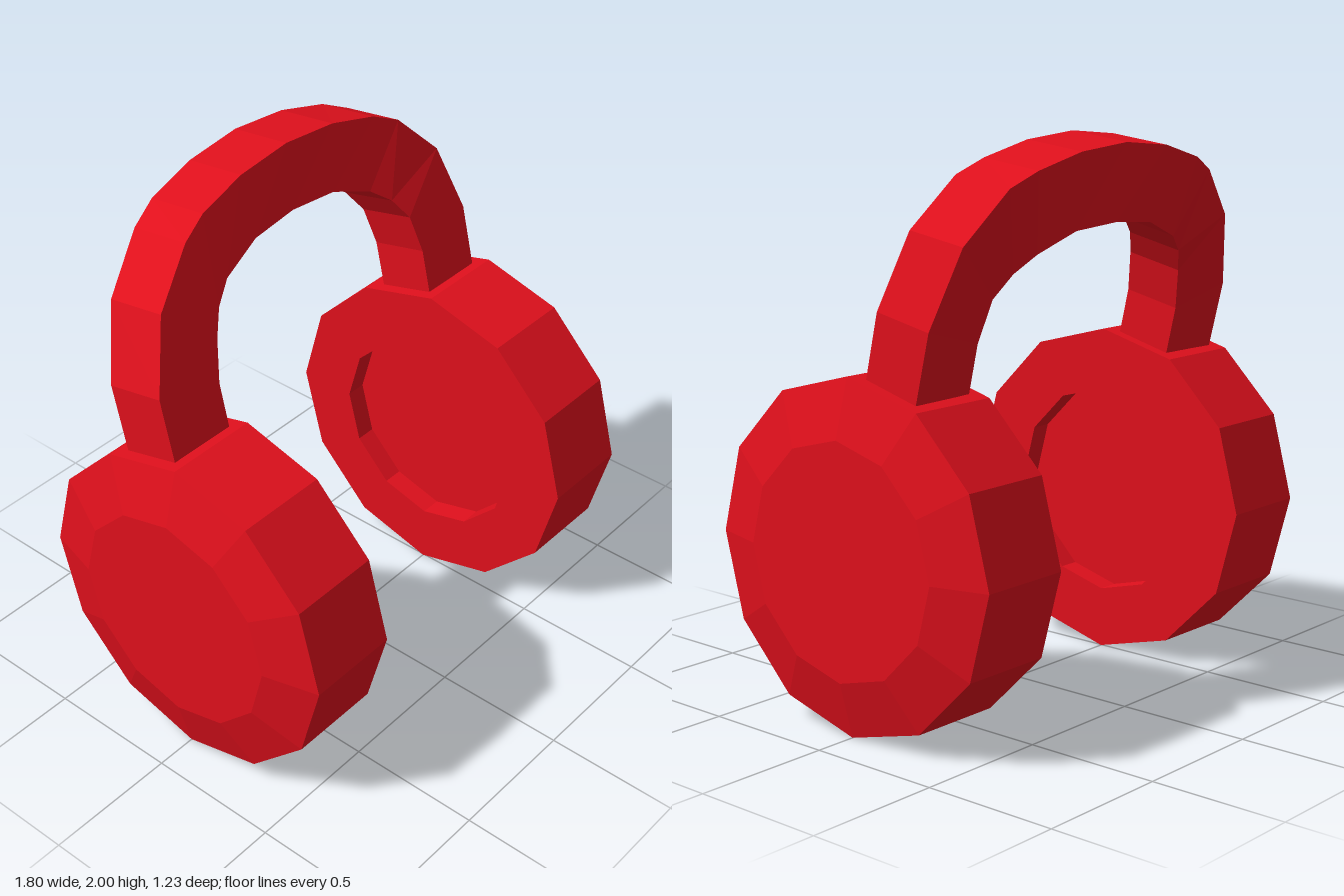
import * as THREE from 'three';

const material = new THREE.MeshStandardMaterial({ color: 0xe0101c, flatShading: true });

// Ear cup: twelve-sided lathe with a recessed inner face and a bevelled outer face
function earCup(name, side) {
  const profile = [
    [0, 0.575], [0.39, 0.575], [0.39, 0.495], [0.617, 0.495],
    [0.617, 0.845], [0.413, 0.9], [0, 0.9],
  ].map(([r, h]) => new THREE.Vector2(r, h));
  const geometry = new THREE.LatheGeometry(profile, 12);
  geometry.rotateZ(-Math.PI / 2);
  if (side < 0) geometry.rotateY(Math.PI);
  const mesh = new THREE.Mesh(geometry, material);
  mesh.name = name;
  mesh.position.y = 0.617;
  return mesh;
}

// Headband: four-cornered section swept over the arch, leaning backwards
function headband() {
  // front edges of the left half: outer x, y, z, then inner x, y, z
  const half = [
    [0.8, 1.1, -0.015, 0.54, 1.1, -0.015],
    [0.8, 1.45, -0.097, 0.54, 1.385, -0.08],
    [0.71, 1.71, -0.16, 0.505, 1.53, -0.115],
    [0.54, 1.88, -0.205, 0.45, 1.61, -0.155],
    [0.43, 1.93, -0.23, 0.37, 1.67, -0.19],
    [0.23, 1.98, -0.245, 0.2, 1.735, -0.215],
    [0, 2, -0.25, 0, 1.75, -0.225],
  ];
  const mirrored = half.slice(0, -1).reverse()
    .map(([a, b, c, d, e, f]) => [-a, b, c, -d, e, f]);
  const sections = [...half, ...mirrored].map(([ox, oy, oz, ix, iy, iz]) => {
    const drop = THREE.MathUtils.mapLinear(oy, 1.1, 2, 0.057, 0.03);
    const deep = THREE.MathUtils.mapLinear(oy, 1.1, 2, 0.222, 0.235);
    return [
      [ox, oy, oz], [ix, iy, iz],
      [ix, iy - 0.05, iz - 0.218], [ox, oy - drop, oz - deep],
    ];
  });

  const positions = [];
  const quad = (a, b, c, d) => positions.push(...a, ...b, ...c, ...a, ...c, ...d);
  for (let i = 0; i < sections.length - 1; i++) {
    const p = sections[i], q = sections[i + 1];
    for (let j = 0; j < 4; j++) {
      const k = (j + 1) % 4;
      quad(p[j], q[j], q[k], p[k]);
    }
  }
  // end caps inside the cups
  quad(...sections[0]);
  quad(...[...sections[sections.length - 1]].reverse());

  const geometry = new THREE.BufferGeometry();
  geometry.setAttribute('position', new THREE.Float32BufferAttribute(positions, 3));
  geometry.computeVertexNormals();
  const mesh = new THREE.Mesh(geometry, material);
  mesh.name = 'headband';
  return mesh;
}

export function createModel() {
  const group = new THREE.Group();
  group.name = 'headphones';
  group.add(earCup('leftEarCup', 1), earCup('rightEarCup', -1), headband());
  return group;
}
